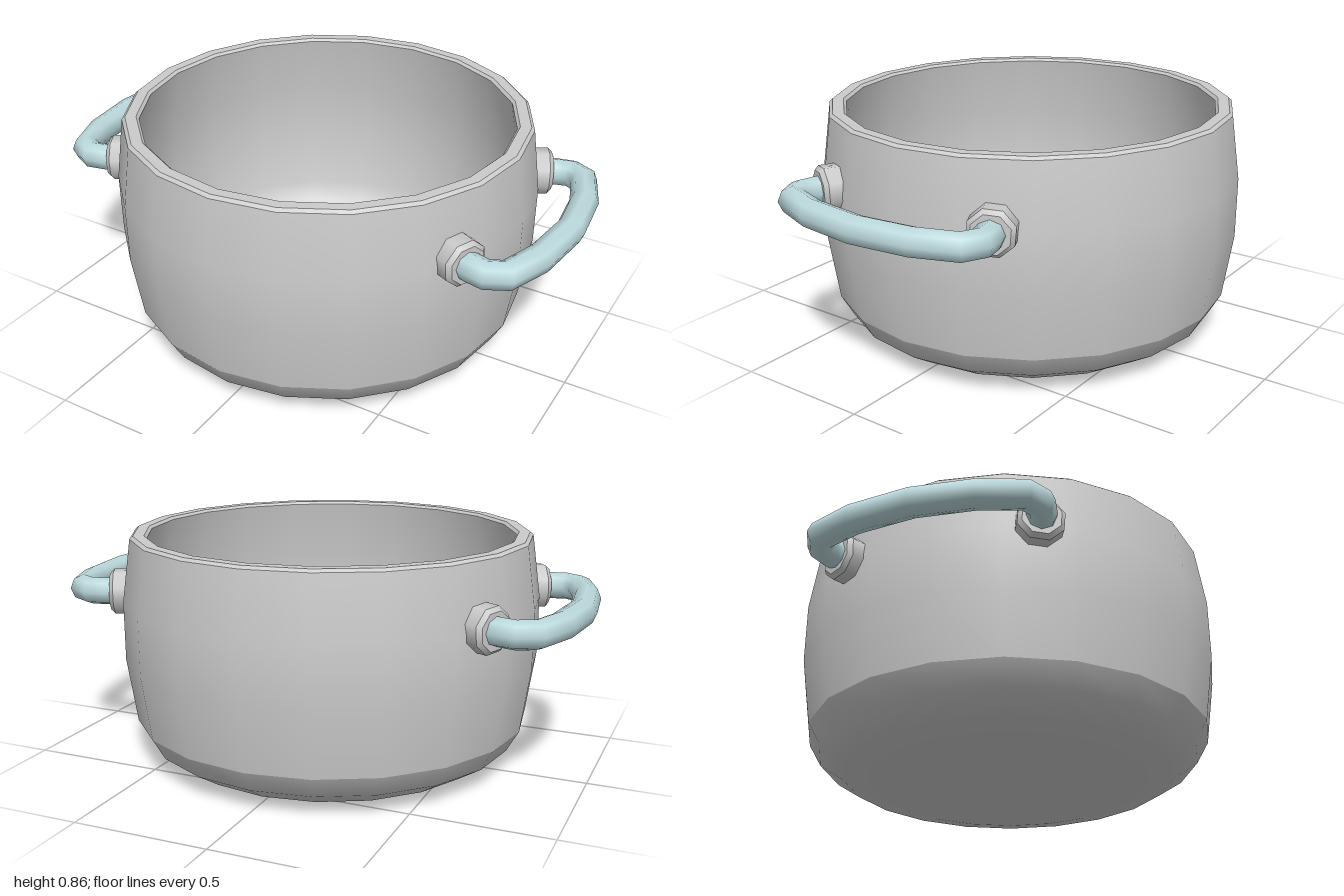
import * as THREE from 'three';
import { mergeGeometries } from 'three/addons/utils/BufferGeometryUtils.js';

const steel = new THREE.MeshStandardMaterial({ color: 0xcccccc });
const enamel = new THREE.MeshStandardMaterial({ color: 0xbddade });

// Lathe from several profile bands: smooth inside each band, sharp between bands
function bandedLathe(bands, sides) {
  return mergeGeometries(bands.map((band) =>
    new THREE.LatheGeometry(band.map(([r, y]) => new THREE.Vector2(r, y)), sides)));
}

function named(name, geometry, material) {
  const mesh = new THREE.Mesh(geometry, material);
  mesh.name = name;
  return mesh;
}

// Pot shell: underside, rounded base, wall, rim, inside wall and floor
function makePot() {
  return named('pot', bandedLathe([
    [[0, 0], [0.5, 0]],
    [[0.5, 0], [0.61, 0.022], [0.7, 0.08], [0.745, 0.16]],
    [[0.745, 0.16], [0.78, 0.4], [0.78, 0.62], [0.747, 0.85]],
    [[0.747, 0.85], [0.735, 0.86]],
    [[0.735, 0.86], [0.695, 0.86]],
    [[0.695, 0.86], [0.685, 0.85]],
    [[0.685, 0.85], [0.725, 0.62], [0.725, 0.4], [0.69, 0.18],
      [0.65, 0.11], [0.58, 0.066], [0.5, 0.05]],
    [[0.5, 0.05], [0, 0.05]],
  ], 20), steel);
}

// One side handle: bent bar with a bevelled mount at each end
function makeHandle(name) {
  const handle = new THREE.Group();
  handle.name = name;

  const half = [[0.68, 0.345], [0.755, 0.377], [0.81, 0.39], [0.87, 0.36], [0.922, 0.215]];
  const path = [
    ...half.map(([x, z]) => new THREE.Vector3(x, 0, z)),
    new THREE.Vector3(0.947, 0, 0),
    ...half.map(([x, z]) => new THREE.Vector3(x, 0, -z)).reverse(),
  ];
  const curve = new THREE.CatmullRomCurve3(path);
  curve.getUtoTmapping = (u) => u; // put one ring exactly on each path point
  handle.add(named('handleBar', new THREE.TubeGeometry(curve, path.length - 1, 0.051, 8), enamel));

  for (const s of [1, -1]) {
    const mount = named('handleMount', bandedLathe([
      [[0, -0.045], [0.085, -0.045]],
      [[0.085, -0.045], [0.085, 0.03]],
      [[0.085, 0.03], [0.07, 0.045]],
      [[0.07, 0.045], [0, 0.045]],
    ], 8), steel);
    mount.position.set(0.7, 0, s * 0.352);
    // Turn the mount's axis to point straight out from the wall
    mount.quaternion.setFromUnitVectors(
      new THREE.Vector3(0, 1, 0), new THREE.Vector3(0.89, 0, s * 0.456).normalize());
    handle.add(mount);
  }
  handle.position.y = 0.632;
  return handle;
}

export function createModel() {
  const model = new THREE.Group();
  model.name = 'cookingPot';
  const left = makeHandle('leftHandle');
  const right = makeHandle('rightHandle');
  right.rotation.y = Math.PI;
  model.add(makePot(), left, right);
  return model;
}
